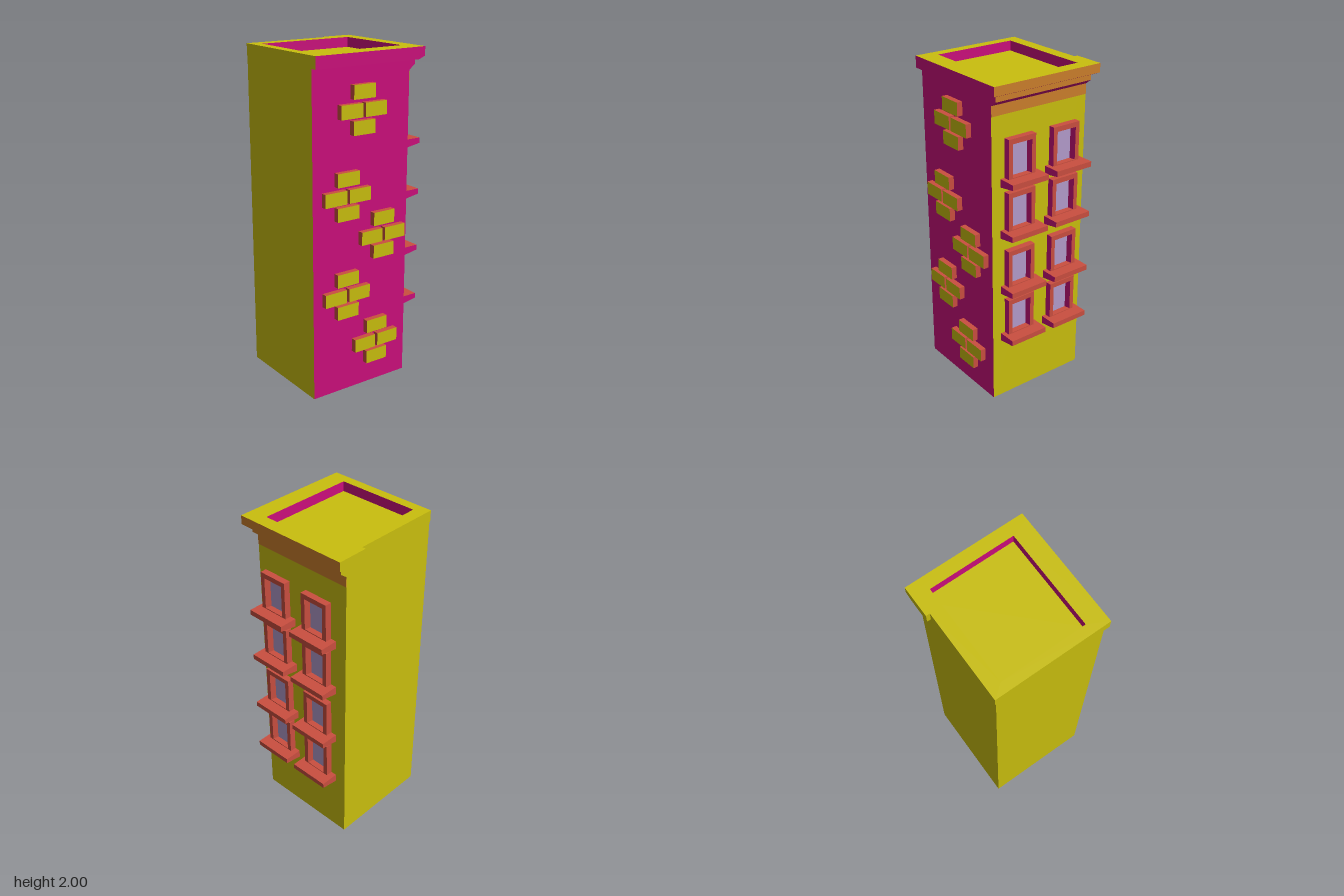
import * as THREE from 'three';

const mat = (name, color) => {
  const m = new THREE.MeshStandardMaterial({ color });
  m.name = name;
  return m;
};

export function createModel() {
  const model = new THREE.Group();
  model.name = 'building';
  const yellow = mat('yellow', 0xcabf0e), magenta = mat('magenta', 0xcc0e7c);
  const red = mat('red', 0xcb4f40), orange = mat('orange', 0xcc7f2c);
  const lavender = mat('lavender', 0xb49ccc);

  // Give each triangle a material chosen from its normal and centre
  const painted = (name, geometry, pick, parent = model) => {
    const geo = geometry.index ? geometry.toNonIndexed() : geometry;
    geo.computeVertexNormals();
    geo.clearGroups();
    const materials = [], tri = new THREE.Triangle();
    const n = new THREE.Vector3(), c = new THREE.Vector3();
    const pos = geo.attributes.position;
    for (let i = 0; i < pos.count; i += 3) {
      tri.setFromAttributeAndIndices(pos, i, i + 1, i + 2);
      const m = pick(tri.getNormal(n), tri.getMidpoint(c));
      if (!materials.includes(m)) materials.push(m);
      geo.addGroup(i, 3, materials.indexOf(m));
    }
    const mesh = new THREE.Mesh(geo, materials);
    mesh.name = name;
    parent.add(mesh);
    return mesh;
  };
  const box = (x0, x1, y0, y1, z0, z1) =>
    new THREE.BoxGeometry(x1 - x0, y1 - y0, z1 - z0)
      .translate((x0 + x1) / 2, (y0 + y1) / 2, (z0 + z1) / 2);
  const shape = (pts) => new THREE.Shape(pts.map(([x, y]) => new THREE.Vector2(x, y)));
  const extrude = (s, depth) => new THREE.ExtrudeGeometry(s, { depth, bevelEnabled: false });

  // Main block; its top is the sunken roof floor
  painted('walls', box(-0.4, 0.265, 0, 1.94, -0.335, 0.325),
    (n) => (n.z > 0.5 ? magenta : yellow));

  // Parapet with a return at the back corner
  const rim = shape([[-0.4, -0.363], [0.305, -0.363], [0.345, -0.363], [0.345, 0.363],
    [0.305, 0.363], [0.155, 0.363], [0.155, 0.34], [-0.4, 0.34]]);
  rim.holes.push(shape([[-0.34, -0.25], [-0.34, 0.265], [0.265, 0.265], [0.265, -0.25]]));
  const rimGeo = extrude(rim, 0.07).rotateX(-Math.PI / 2).translate(0, 1.93, 0);
  const rp = rimGeo.attributes.position;
  for (let i = 0; i < rp.count; i++) {
    if (rp.getX(i) > 0.34 && rp.getY(i) < 1.95) rp.setY(i, 1.947);
  }
  painted('parapet', rimGeo, (n, c) => {
    if (n.y > 0.5) return yellow;
    if (n.y < -0.3) return magenta;
    const inside = c.x > -0.345 && c.x < 0.27 && c.z > -0.27 && c.z < 0.255;
    if (inside || n.z > 0.5) return magenta;
    return n.x > 0.5 ? orange : yellow;
  });

  // Cornice moulding and frieze on the window side
  const bed = shape([[0.26, 1.935], [0.26, 1.868], [0.265, 1.87], [0.305, 1.9], [0.305, 1.935]]);
  painted('cornice', extrude(bed, 0.66).translate(0, 0, -0.335), (n) => {
    if (n.z > 0.5 || n.y < -0.3) return magenta;
    return n.z < -0.5 ? yellow : orange;
  });
  const frieze = new THREE.Mesh(box(0.264, 0.267, 1.81, 1.872, -0.335, 0.325), orange);
  frieze.name = 'frieze';
  model.add(frieze);

  // Windows: tapered frame, pane and sloping sill
  const trim = (n) => (n.z > 0.5 || n.y < -0.3 ? magenta : red);
  const frame = shape([[-0.093, 0.05], [0.093, 0.05], [0.093, 0.28], [-0.093, 0.28]]);
  frame.holes.push(shape([[-0.066, 0.055], [-0.066, 0.25], [0.066, 0.25], [0.066, 0.055]]));
  const frameGeo = extrude(frame, 0.04);
  const fp = frameGeo.attributes.position;
  for (let i = 0; i < fp.count; i++) {
    if (Math.abs(fp.getX(i)) < 0.07 && fp.getZ(i) < 0.01) {
      fp.setX(i, fp.getX(i) * 0.89);
      if (fp.getY(i) > 0.2) fp.setY(i, 0.237);
    }
  }
  frameGeo.rotateY(Math.PI / 2).translate(0.285, 0, 0.005);
  const sillGeo = extrude(
    shape([[0.285, 0], [0.395, 0.018], [0.395, 0.05], [0.285, 0.05]]), 0.25).translate(0, 0, -0.125);
  const paneGeo = box(0.285, 0.288, 0.052, 0.24, -0.056, 0.066);
  for (const y of [1.405, 1.092, 0.733, 0.412]) {
    for (const z of [0.156, -0.156]) {
      const win = new THREE.Group();
      win.name = 'window';
      win.position.set(0, y, z);
      painted('windowFrame', frameGeo.clone(), trim, win);
      painted('windowSill', sillGeo.clone(), trim, win);
      const pane = new THREE.Mesh(paneGeo, lavender);
      pane.name = 'windowPane';
      win.add(pane);
      model.add(win);
    }
  }

  // Clusters of four raised bricks on the front
  const brickGeo = box(-0.074, 0.074, -0.04, 0.04, 0.32, 0.36);
  const clusters = [[-0.074, 1.684], [-0.18, 1.206], [0.074, 0.938], [-0.18, 0.612], [0.03, 0.276]];
  for (const [cx, cy] of clusters) {
    const cluster = new THREE.Group();
    cluster.name = 'brickCluster';
    cluster.position.set(cx, cy, 0);
    for (const [x, y] of [[0, 0.103], [-0.085, 0], [0.08, 0], [0, -0.096]]) {
      painted('brick', brickGeo.clone(), (n) => (n.z > 0.5 ? yellow : red), cluster)
        .position.set(x, y, 0);
    }
    model.add(cluster);
  }
  return model;
}
